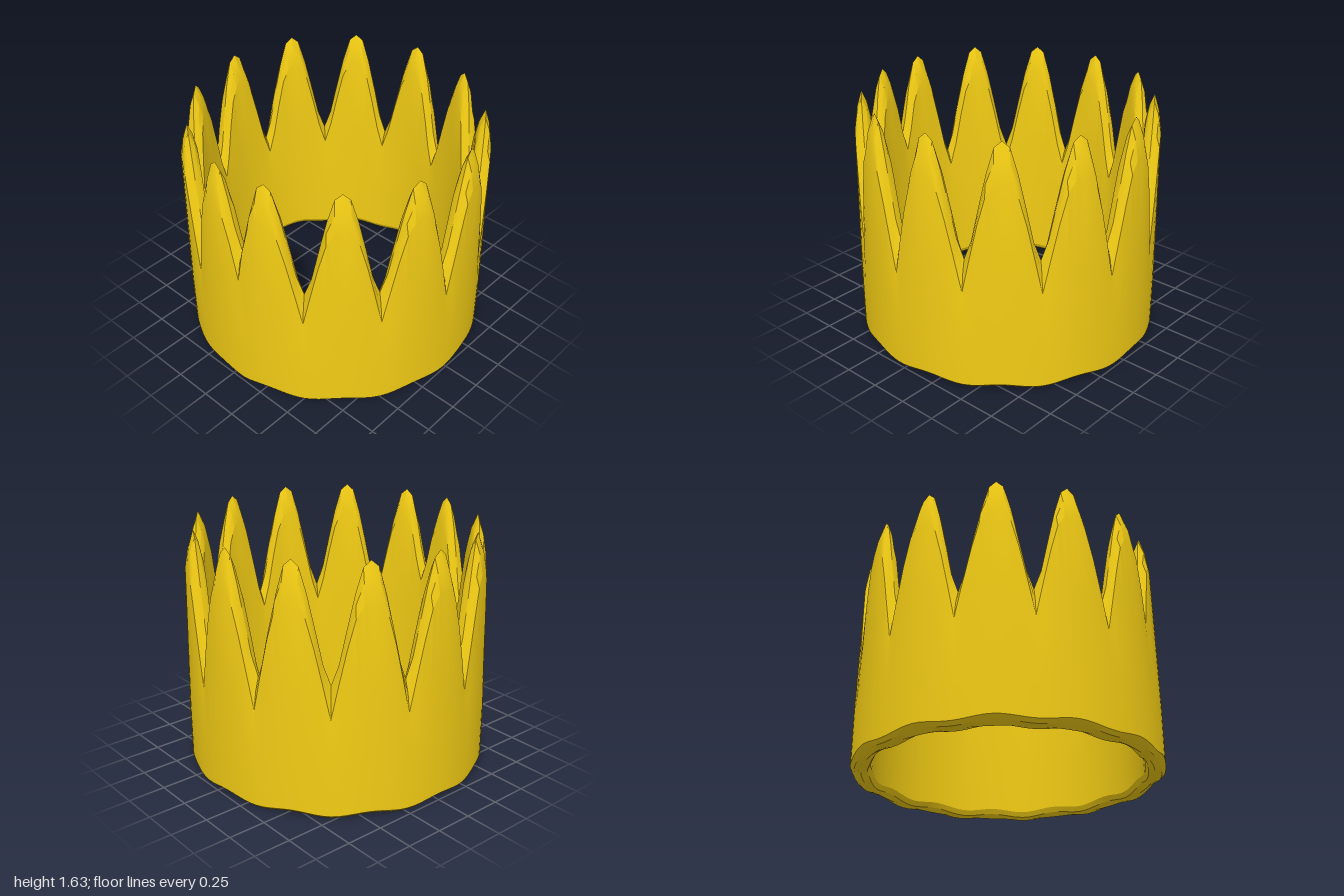
import * as THREE from 'three';
import { toCreasedNormals } from 'three/addons/utils/BufferGeometryUtils.js';

const COLUMNS = 128;
// Spike tips by column: ten columns apart, with one narrower gap of eight
const TIPS = [4, 14, 24, 34, 44, 54, 64, 74, 84, 94, 102, 112, 122];
// Heights by distance from the nearest tip, 0 = tip, 5 = notch
const CREST = [1.63, 1.59, 1.43, 1.22, 1.0, 0.87];
const OUTER_EDGE = [1.38, 1.38, 1.3, 1.12, 0.9, 0.67];
const INNER_EDGE = [1.45, 1.42, 1.32, 1.13, 0.92, 0.77];
const NARROW_NOTCH = 98;

function tipDistance(c) {
  return Math.min(...TIPS.map((t) => {
    const d = Math.abs(c - t);
    return Math.min(d, COLUMNS - d);
  }));
}

// Closed wall section as [radius, height], down the outside and up the inside
function wallSection(c) {
  const d = tipDistance(c);
  const lift = c === NARROW_NOTCH ? 0.07 : 0;
  const h = CREST[d] + lift;
  const o = OUTER_EDGE[d] + (lift ? -0.03 : 0);
  const i = INNER_EDGE[d] + lift;
  const wave = 0.012 * Math.cos((d / 5) * Math.PI);
  return [
    [0.93, h],
    [0.962, h + (o - h) * 0.42],
    [0.984, o],
    [0.993, 0.4 + (o - 0.4) * 0.45],
    [1.0, 0.38],
    [1.0, 0.035 + wave],
    [0.975, 0.012 + wave],
    [0.93, 0],
    [0.89, 0.012 + wave],
    [0.872, 0.045 + wave],
    [0.87, 0.4],
    [0.872, 0.4 + (i - 0.4) * 0.5],
    [0.88, i],
    [0.9, h + (i - h) * 0.42],
  ];
}

function crownGeometry() {
  const positions = [];
  const index = [];
  let rows = 0;
  for (let c = 0; c < COLUMNS; c++) {
    const a = (c / COLUMNS) * Math.PI * 2;
    const section = wallSection(c);
    rows = section.length;
    for (const [r, y] of section) positions.push(r * Math.sin(a), y, r * Math.cos(a));
  }
  for (let c = 0; c < COLUMNS; c++) {
    const next = (c + 1) % COLUMNS;
    for (let j = 0; j < rows; j++) {
      const k = (j + 1) % rows;
      const p = c * rows + j, q = c * rows + k;
      const s = next * rows + k, t = next * rows + j;
      index.push(p, q, s, p, s, t);
    }
  }
  const geometry = new THREE.BufferGeometry();
  geometry.setAttribute('position', new THREE.Float32BufferAttribute(positions, 3));
  geometry.setIndex(index);
  return toCreasedNormals(geometry, 0.45);
}

export function createModel() {
  const model = new THREE.Group();
  model.name = 'crown';
  // Spiked ring wall
  const ring = new THREE.Mesh(crownGeometry(), new THREE.MeshStandardMaterial({ color: 0xf2cc14 }));
  ring.name = 'spikedRing';
  model.add(ring);
  return model;
}
